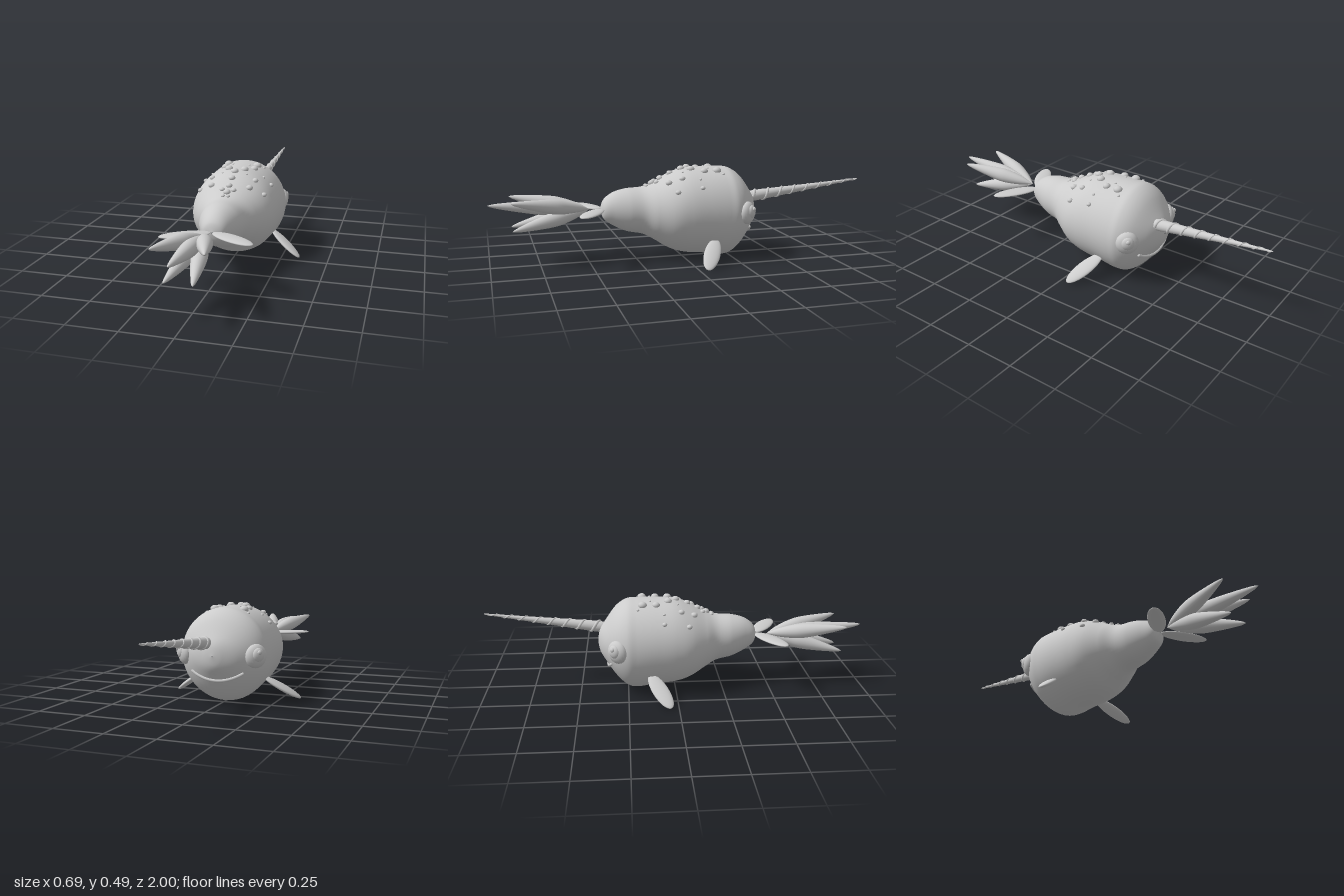
import * as THREE from 'three';
import { ParametricGeometry } from 'three/addons/geometries/ParametricGeometry.js';

const grey = new THREE.MeshStandardMaterial({ color: 0xcccccc });
grey.name = 'grey';
const V = (x, y, z) => new THREE.Vector3(x, y, z);

// Body sections along z: [z, top y, bottom y, half width]
const rows = [
  [-0.405, 0.257, 0.253, 0.003], [-0.395, 0.31, 0.2, 0.05], [-0.365, 0.36, 0.15, 0.12],
  [-0.31, 0.435, 0.07, 0.19], [-0.255, 0.473, 0.017, 0.225], [-0.2, 0.48, 0.002, 0.23],
  [-0.1, 0.48, 0.017, 0.23], [0, 0.474, 0.028, 0.226], [0.08, 0.445, 0.055, 0.21],
  [0.16, 0.405, 0.105, 0.165], [0.22, 0.385, 0.137, 0.125], [0.3, 0.38, 0.155, 0.107],
  [0.37, 0.362, 0.187, 0.08], [0.42, 0.325, 0.225, 0.05], [0.436, 0.277, 0.273, 0.003],
];
const [topLine, bottomLine, sideLine] = [1, 2, 3].map(
  (k) => new THREE.SplineCurve(rows.map((r) => new THREE.Vector2(r[0], r[k]))));

function section(t) {
  const top = topLine.getPoint(t), bottom = bottomLine.getPoint(t).y;
  return { z: top.x, cy: (top.y + bottom) / 2, ry: (top.y - bottom) / 2, rx: sideLine.getPoint(t).y };
}

// Body surface height above a point (x, z)
function backHeight(x, z) {
  let a = 0, b = 1;
  for (let i = 0; i < 30; i++) {
    const m = (a + b) / 2;
    if (section(m).z < z) a = m; else b = m;
  }
  const s = section(a);
  return s.cy + s.ry * Math.sqrt(Math.max(0, 1 - (x / s.rx) ** 2));
}

// Face surface depth at a point (x, y)
function faceDepth(x, y) {
  let t = 0, s = section(0);
  while (t < 0.5 && (x / s.rx) ** 2 + ((y - s.cy) / s.ry) ** 2 > 1) {
    t += 0.001;
    s = section(t);
  }
  return s.z;
}

function add(parent, name, geometry) {
  const mesh = new THREE.Mesh(geometry, grey);
  mesh.name = name;
  parent.add(mesh);
  return mesh;
}

function ellipsoid(parent, name, centre, rx, ry, rz, segments = 24) {
  const mesh = add(parent, name, new THREE.SphereGeometry(1, segments, segments / 2).scale(rx, ry, rz));
  mesh.position.copy(centre);
  return mesh;
}

// Lathe profile of [radius, fraction] running from one point to another
function spindle(parent, name, from, to, profile) {
  const dir = to.clone().sub(from), length = dir.length();
  const points = new THREE.SplineCurve(profile.map(([r, f]) => new THREE.Vector2(r, f * length))).getPoints(24);
  points.forEach((p) => { p.x = Math.max(p.x, 0); });
  const mesh = add(parent, name, new THREE.LatheGeometry(points, 20));
  mesh.position.copy(from);
  mesh.quaternion.setFromUnitVectors(V(0, 1, 0), dir.normalize());
  return mesh;
}

export function createModel() {
  const model = new THREE.Group();
  model.name = 'hornedWhale';

  // Body
  add(model, 'body', new ParametricGeometry((u, v, p) => {
    const s = section(v), a = u * Math.PI * 2;
    p.set(s.rx * Math.cos(a), s.cy + s.ry * Math.sin(a), s.z);
  }, 48, 70));

  // Horn with a spiral ridge
  const hornBase = V(0.038, 0.315, -0.375), hornTip = V(0.07, 0.39, -1);
  const horn = spindle(model, 'horn', hornBase, hornTip,
    [[0, 0], [0.028, 0.001], [0.024, 0.25], [0.017, 0.5], [0.01, 0.75], [0.004, 0.98], [0, 1]]);
  const hornLength = hornBase.distanceTo(hornTip);
  const spiral = [];
  for (let i = 0; i <= 140; i++) {
    const f = i / 140, a = f * Math.PI * 2 * 8, r = 0.028 - 0.024 * f;
    spiral.push(V(r * Math.cos(a), 0.01 + f * (hornLength - 0.015), r * Math.sin(a)));
  }
  const path = new THREE.CatmullRomCurve3(spiral);
  const ridge = new THREE.TubeGeometry(path, 320, 0.009, 8);
  const pos = ridge.attributes.position, v = V(0, 0, 0);
  for (let i = 0; i < pos.count; i++) {
    const f = Math.floor(i / 9) / 320;
    v.fromBufferAttribute(pos, i).lerp(path.getPointAt(f), 0.7 * f);
    pos.setXYZ(i, v.x, v.y, v.z);
  }
  add(horn, 'hornRidge', ridge);

  // Smile lying on the face
  const smile = [];
  for (let i = -8; i <= 8; i++) {
    const x = i * 0.0165, y = 0.128 + 2.2 * x * x;
    smile.push(V(x, y, faceDepth(x, y) - 0.003));
  }
  add(model, 'mouth', new THREE.TubeGeometry(new THREE.CatmullRomCurve3(smile), 48, 0.008, 8));
  for (const end of [smile[0], smile[16]]) ellipsoid(model, 'mouthCorner', end, 0.008, 0.008, 0.008, 12);

  for (const s of [-1, 1]) {
    const side = s > 0 ? 'left' : 'right';

    // Eye: flattened ball, pupil and glint
    const eye = new THREE.Group();
    eye.name = side + 'Eye';
    eye.position.set(s * 0.187, 0.253, -0.302);
    eye.rotation.y = s * (Math.PI - 0.85);
    ellipsoid(eye, 'eyeball', V(0, 0, 0), 0.058, 0.06, 0.036);
    ellipsoid(eye, 'pupil', V(0, 0.008, 0.024), 0.033, 0.035, 0.02);
    ellipsoid(eye, 'glint', V(0, 0.022, 0.04), 0.012, 0.012, 0.009, 16);
    model.add(eye);

    // Pectoral fin
    const fin = ellipsoid(model, side + 'Fin', V(s * 0.26, 0.063, -0.088), 0.115, 0.014, 0.042);
    fin.rotation.set(0, -s * 0.45, -s * 0.594, 'ZYX');

    // Tail fluke
    const fluke = ellipsoid(model, side + 'Fluke', V(s * 0.116, 0.277, 0.497), 0.128, 0.011, 0.044);
    fluke.rotation.y = -s * 0.52;
  }

  // Feathered tail plume
  const root = V(-0.02, 0.277, 0.49);
  const lobe = [[0, 0], [0.022, 0.15], [0.036, 0.35], [0.037, 0.5], [0.024, 0.75], [0.01, 0.94], [0, 1]];
  const tips = [[-0.02, 0.318, 1], [-0.143, 0.342, 0.89], [0.103, 0.342, 0.89], [-0.086, 0.192, 0.885], [0.046, 0.192, 0.885]];
  for (const tip of tips) spindle(model, 'tailPlume', root, V(...tip), lobe);

  // Bumps on the back: [x, z, radius], mirrored when off centre
  const bumps = [
    [0, 0.005, 0.02], [0, 0.065, 0.018], [0, 0.12, 0.017], [0, 0.165, 0.019],
    [0.08, -0.17, 0.023], [0.08, -0.1, 0.02], [0.042, -0.037, 0.021], [0.03, 0.145, 0.014],
    [0.013, 0.195, 0.011], [0.115, 0.028, 0.016], [0.1, 0.095, 0.018], [0.17, 0.065, 0.015],
    [0.18, -0.062, 0.013], [0.14, -0.062, 0.008], [0.112, -0.195, 0.008], [0.045, -0.13, 0.006], [0.065, 0.012, 0.006],
  ];
  for (const [x, z, r] of bumps) {
    for (const s of x ? [-1, 1] : [1]) {
      ellipsoid(model, 'backBump', V(s * x, backHeight(x, z), z), r, r * 0.8, r, 16);
    }
  }
  return model;
}
